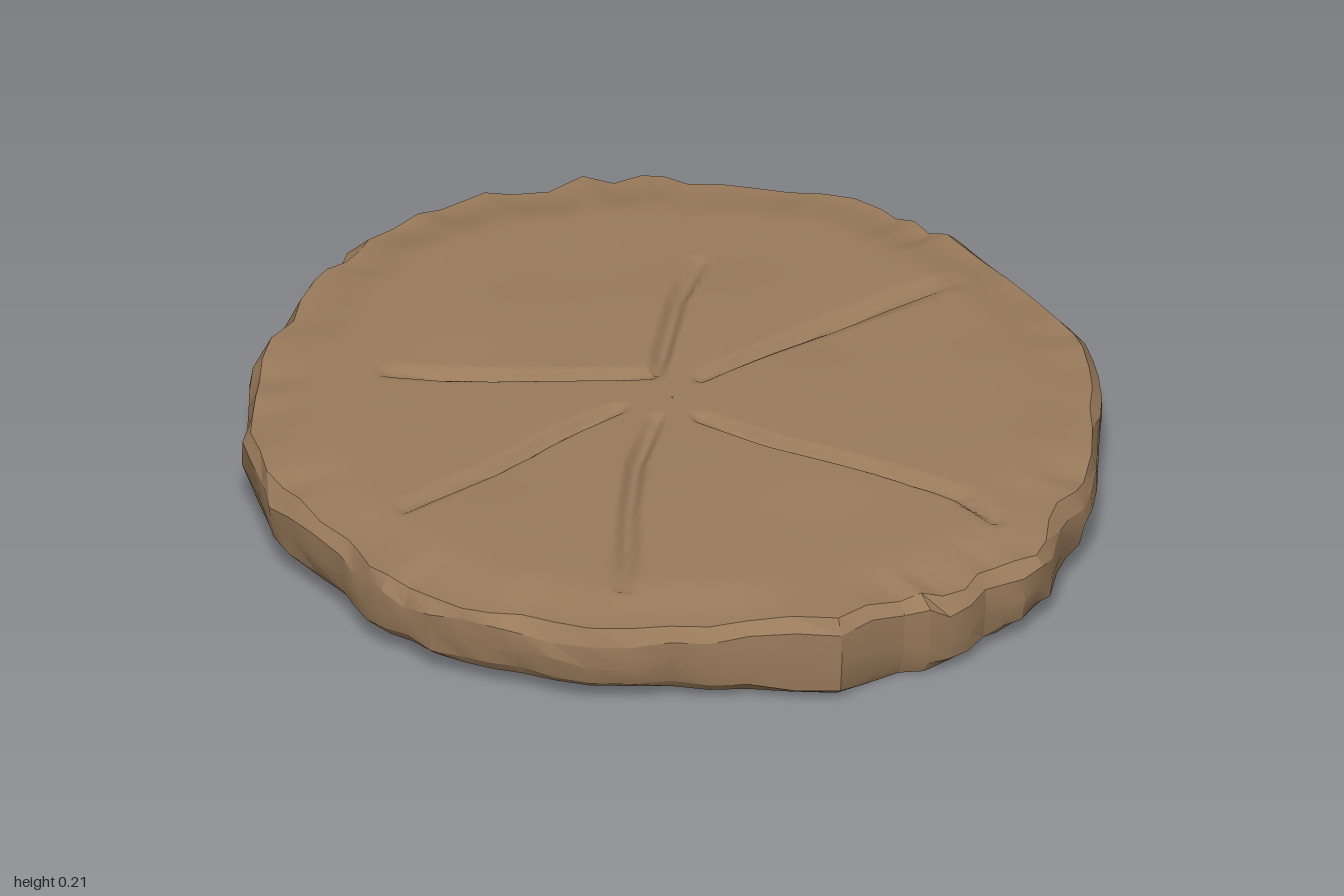
import * as THREE from 'three';
import { toCreasedNormals } from 'three/addons/utils/BufferGeometryUtils.js';

// Rim outline as x, z pairs, clockwise seen from above
const OUTLINE = [
  [0.05, -1], [0.17, -0.99], [0.27, -0.95], [0.42, -0.89], [0.54, -0.84], [0.59, -0.74], [0.70, -0.64],
  [0.79, -0.52], [0.86, -0.41], [0.88, -0.32], [0.92, -0.24], [0.915, 0], [0.89, 0.2], [0.86, 0.33],
  [0.77, 0.48], [0.66, 0.62], [0.52, 0.78], [0.42, 0.84], [0.30, 0.94], [0.2, 0.98], [0.1, 0.97],
  [-0.01, 1], [-0.1, 0.96], [-0.26, 0.95], [-0.42, 0.84], [-0.56, 0.75], [-0.71, 0.66], [-0.8, 0.53],
  [-0.87, 0.42], [-0.91, 0.28], [-0.93, 0.17], [-0.91, 0.05], [-0.9, -0.15], [-0.87, -0.28], [-0.8, -0.44],
  [-0.7, -0.56], [-0.6, -0.68], [-0.45, -0.78], [-0.3, -0.88], [-0.2, -0.91], [-0.1, -0.97],
];

// Grooves radiating from the middle
const GROOVES = [
  [[0.02, -0.11], [-0.12, -0.2], [-0.25, -0.3], [-0.41, -0.44]],
  [[0.04, -0.11], [0.15, -0.22], [0.25, -0.32], [0.38, -0.42]],
  [[0.10, -0.03], [0.4, -0.045], [0.78, -0.045]],
  [[0, 0.1], [0.06, 0.28], [0.17, 0.5], [0.25, 0.68], [0.25, 0.8]],
  [[-0.08, 0.05], [-0.22, 0.17], [-0.35, 0.32], [-0.45, 0.45], [-0.55, 0.57]],
  [[-0.12, -0.03], [-0.3, -0.02], [-0.5, 0.01], [-0.72, 0.03]],
];

let seed = 7;
const jitter = (amount) => {
  seed = (seed * 16807) % 2147483647;
  return (seed / 2147483647 - 0.5) * 2 * amount;
};
const lerp = THREE.MathUtils.lerp;
const smooth = THREE.MathUtils.smoothstep;

// Surface through closed rings of points; keep() selects the quads
function ringSurface(rings, keep = () => true) {
  const n = rings[0].length;
  const index = [];
  for (let i = 0; i < rings.length - 1; i++) {
    for (let j = 0; j < n; j++) {
      if (!keep(i, j)) continue;
      const k = (j + 1) % n;
      const a = i * n + j, b = i * n + k, c = a + n, d = b + n;
      index.push(a, b, c, b, d, c);
    }
  }
  const geometry = new THREE.BufferGeometry();
  geometry.setAttribute('position', new THREE.Float32BufferAttribute(rings.flat(2), 3));
  geometry.setIndex(index);
  geometry.computeVertexNormals();
  return geometry;
}

// Depth of the nearest groove, fading to nothing at its tips
function grooveDepth(x, z) {
  let depth = 0;
  for (const path of GROOVES) {
    const last = path.length - 1;
    for (let s = 0; s < last; s++) {
      const [ax, az] = path[s], [bx, bz] = path[s + 1];
      const dx = bx - ax, dz = bz - az;
      const t = THREE.MathUtils.clamp(((x - ax) * dx + (z - az) * dz) / (dx * dx + dz * dz), 0, 1);
      const distance = Math.hypot(x - ax - dx * t, z - az - dz * t);
      const along = (s + t) / last;
      const fade = lerp(0.5, 1, smooth(along, 0, 0.2)) * lerp(1, 0.5, smooth(along, 0.75, 1));
      depth = Math.max(depth, 0.024 * fade * (1 - smooth(distance, 0.003, 0.028)));
    }
  }
  return depth;
}

// Gently rippled upper face
const topHeight = (x, z) =>
  0.203 - 0.012 * Math.pow(Math.hypot(x, z), 4)
  + 0.005 * Math.sin(5 * x + 2 * z + 1) * Math.cos(4 * z - x)
  + 0.003 * Math.sin(11 * x - 6 * z) * Math.sin(9 * z + 4 * x)
  - 0.008 * Math.exp(-(x * x + z * z) / 0.03);

// Underside, sagging towards the front
const bottomHeight = (x, z) =>
  0.042 - 0.042 * smooth(z, 0, 0.75) * Math.exp(-(((x + 0.18) / 0.36) ** 2));

export function createModel() {
  const group = new THREE.Group();
  const clay = new THREE.MeshStandardMaterial({ color: 0x9a7b5b });
  clay.name = 'brown clay';
  const shade = new THREE.MeshStandardMaterial({ color: 0x35281a });
  shade.name = 'dark hollow';
  const add = (name, geometry, material) => {
    const mesh = new THREE.Mesh(geometry, material);
    mesh.name = name;
    group.add(mesh);
  };

  // Corners of the rough rim: each outline point plus a jittered midpoint
  const corners = OUTLINE.flatMap(([x, z], i) => {
    const [nx, nz] = OUTLINE[(i + 1) % OUTLINE.length];
    const s = 1.004 + jitter(0.009);
    return [[x, z], [(x + nx) / 2 * s, (z + nz) / 2 * s]];
  });

  // Rim rings from upper edge to lower edge, with a hollow chipped at one side
  const rim = [[], [], [], [], []];
  corners.forEach(([x, z], j) => {
    const hollow = Math.max(0, 1 - Math.abs(j - 30) / 3);
    const top = 0.184 + jitter(0.009) - 0.01 * smooth(x, 0.6, 0.9) - 0.015 * smooth(-z, 0.7, 1);
    const low = bottomHeight(x, z);
    const scales = [0.972 + jitter(0.012), 0.996 + jitter(0.004), 0.997 + jitter(0.006),
      0.985 + jitter(0.008) - 0.13 * hollow, 0.965 + jitter(0.006) - 0.03 * hollow];
    const heights = [top, top - 0.03 + jitter(0.01), lerp(low, top, 0.45) + jitter(0.012),
      low + 0.02 + jitter(0.005) + 0.015 * hollow, low + 0.008 * hollow];
    scales.forEach((s, i) => rim[i].push([x * s, heights[i], z * s]));
  });
  const isHollow = (i, j) => i === 2 && j >= 27 && j <= 32;
  add('rim', toCreasedNormals(ringSurface(rim, (i, j) => !isHollow(i, j)), 0.4), clay);
  add('rimHollow', toCreasedNormals(ringSurface(rim, isHollow), 0.4), shade);

  // Upper face: fine rings from the middle out to the rim's upper edge
  const SPLIT = 4, RINGS = 66;
  const edge = rim[0].flatMap((p, j) => {
    const q = rim[0][(j + 1) % rim[0].length];
    return Array.from({ length: SPLIT }, (_, s) => p.map((v, k) => lerp(v, q[k], s / SPLIT)));
  });
  const topRings = [];
  for (let i = 0; i <= RINGS; i++) {
    const t = Math.max(i / RINGS, 0.002);
    topRings.push(edge.map(([ex, ey, ez]) => {
      const x = ex * t, z = ez * t;
      const y = lerp(topHeight(x, z), ey, smooth(t, 0.82, 1));
      return [x, y - grooveDepth(x, z), z];
    }));
  }
  add('groovedTop', ringSurface(topRings), clay);

  // Underside: rings from the rim's lower edge in to the middle
  const bottomRings = [];
  for (let i = 0; i <= 10; i++) {
    const t = Math.max(1 - i / 10, 0.002);
    bottomRings.push(rim[4].map(([x, y, z]) => [x * t, i === 0 ? y : bottomHeight(x * t, z * t), z * t]));
  }
  add('underside', ringSurface(bottomRings), clay);

  return group;
}
